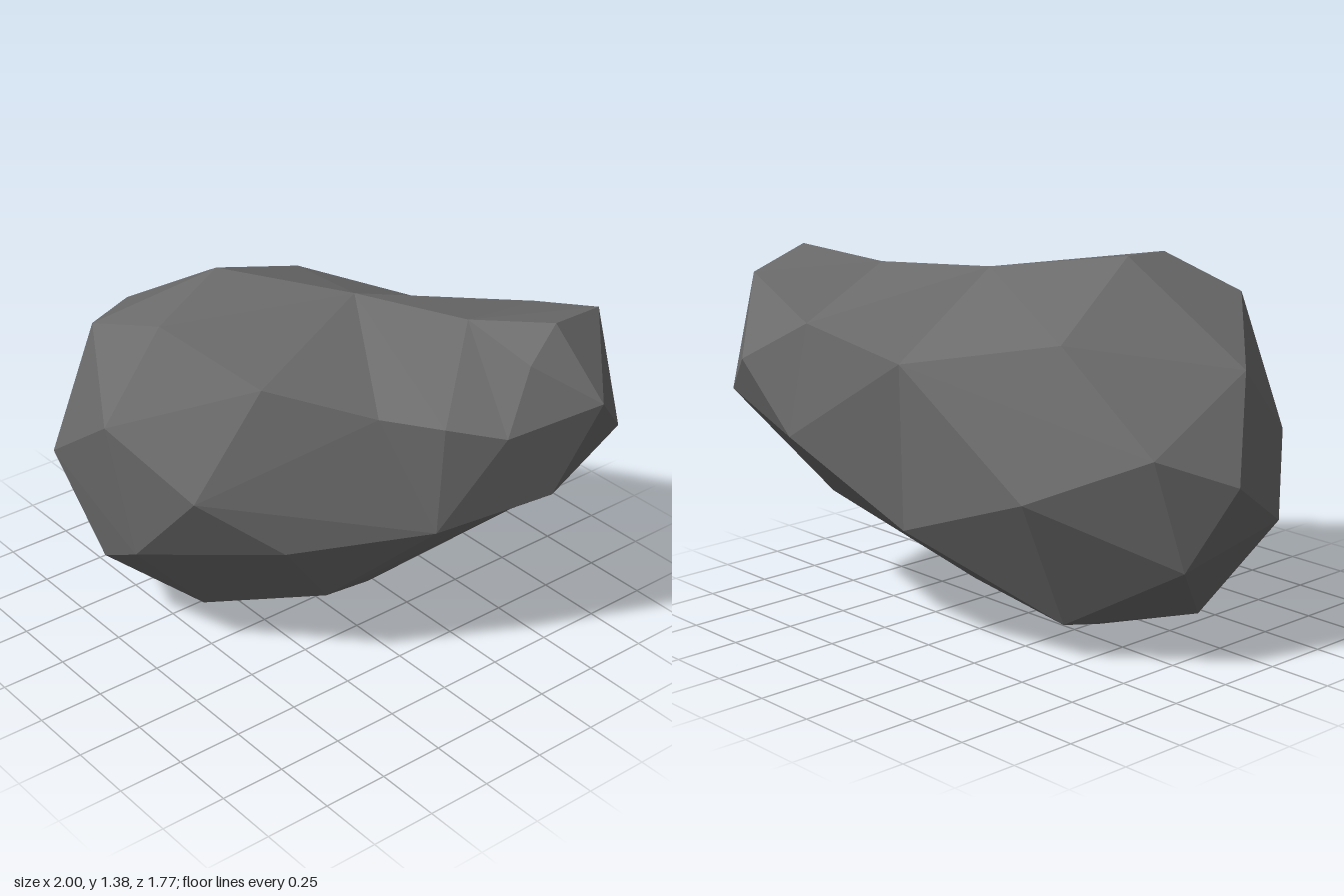
import * as THREE from 'three';
import { ConvexGeometry } from 'three/addons/geometries/ConvexGeometry.js';

// A faceted boulder: three convex lumps that share the corners where they meet,
// leaving a shallow saddle between the large body and the raised knob.
export function createModel() {
  const rock = new THREE.Group();
  rock.name = 'boulder';
  const stone = new THREE.MeshStandardMaterial({ color: 0x6c6c6c });
  stone.name = 'grey stone';

  // corners used by the large body only
  const bodyCorners = [
    // crown
    [-0.10, 1.33, 0.61], [-0.27, 1.38, 0.24], [-0.45, 1.22, 0.66],
    [-0.83, 1.05, 0.26], [-0.46, 1.16, -0.28], [0.28, 1.19, 0.46],
    // waist
    [-0.06, 1.04, 0.88], [0.26, 0.83, 0.74], [0.42, 0.60, 0.47],
    [-0.01, 0.52, 0.81], [-0.56, 0.69, 0.79], [-0.89, 0.49, 0.39],
    [-1.00, 0.70, 0.05], [-0.86, 0.82, -0.23], [-0.52, 0.65, -0.52],
    // underside
    [-0.89, 0.40, -0.10], [-0.31, 0.34, 0.75], [-0.55, 0.27, 0.60],
    [-0.07, 0.14, 0.48], [0.35, 0.29, 0.23], [0.18, 0.12, -0.11],
    [-0.27, 0.00, 0.11], [-0.46, 0.14, -0.26], [-0.63, 0.10, 0.26],
  ];

  // seam between body and neck
  const bodySeam = [[0.12, 1.33, -0.08], [0.51, 1.06, 0.13], [0.00, 1.07, -0.62], [0.00, 0.46, -0.61]];

  // corners under the neck that all lumps or both ends share
  const keel = [[0.68, 0.63, 0.00], [0.54, 0.47, -0.50]];

  // ledge in the saddle
  const neckCorners = [[0.72, 1.07, 0.01]];

  // seam between neck and knob
  const knobSeam = [[0.51, 1.32, -0.27], [0.85, 1.03, -0.16], [0.35, 1.18, -0.75], [0.35, 0.78, -0.84]];

  // raised knob at the back
  const knobCorners = [
    [0.83, 1.27, -0.27], [0.79, 1.37, -0.42], [0.71, 1.31, -0.71], [0.55, 1.04, -0.89],
    [0.81, 0.86, -0.75], [0.88, 0.75, -0.36], [1.00, 1.13, -0.46],
  ];

  const addLump = (name, ...groups) => {
    const points = groups.flat().map((p) => new THREE.Vector3(...p));
    const mesh = new THREE.Mesh(new ConvexGeometry(points), stone);
    mesh.name = name;
    rock.add(mesh);
  };

  addLump('body', bodyCorners, bodySeam, keel);
  addLump('neck', bodySeam, keel, neckCorners, knobSeam);
  addLump('knob', keel, knobSeam, knobCorners);
  return rock;
}
